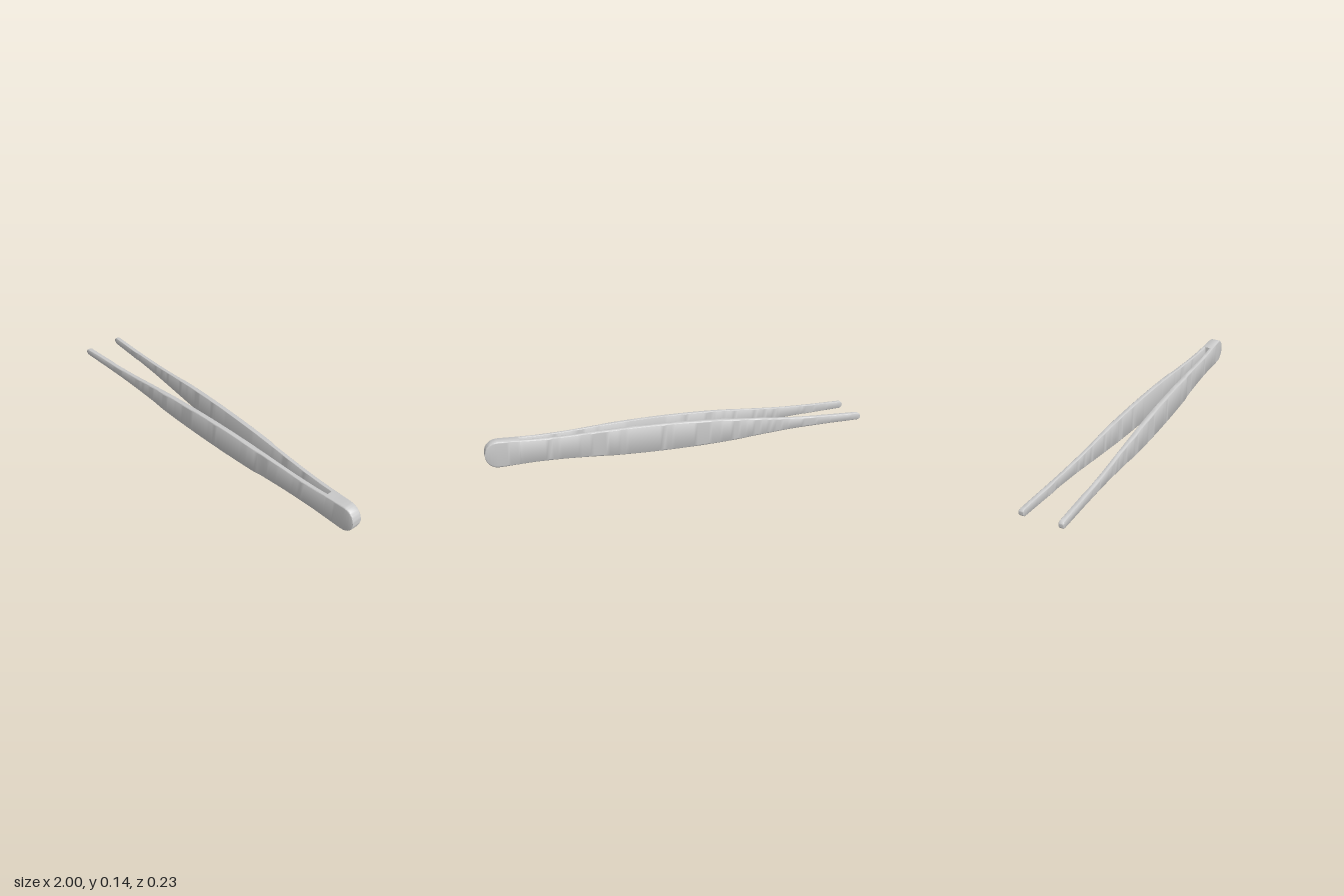
import * as THREE from 'three';
import { toCreasedNormals } from 'three/addons/utils/BufferGeometryUtils.js';

const MID_Y = 0.074, SLOT_END = 0.83;
const material = new THREE.MeshStandardMaterial({ color: 0xcccccc });
const smooth = THREE.MathUtils.smoothstep;

// Half height of the blade along its length, as a smooth curve
const profile = [[-1, 0.019], [-0.9, 0.021], [-0.8, 0.023], [-0.6, 0.031], [-0.4, 0.047], [-0.2, 0.062],
  [0, 0.07], [0.2, 0.072], [0.4, 0.068], [0.6, 0.06], [0.75, 0.059], [0.85, 0.063], [0.93, 0.067], [1, 0.067]];

function halfHeight(x) {
  let i = 0;
  while (i < profile.length - 2 && x > profile[i + 1][0]) i++;
  const slope = (k) => {
    const a = profile[Math.max(k - 1, 0)], b = profile[Math.min(k + 1, profile.length - 1)];
    return (b[1] - a[1]) / (b[0] - a[0]);
  };
  const [x0, h0] = profile[i], [x1, h1] = profile[i + 1];
  const w = x1 - x0, t = (x - x0) / w, t2 = t * t, t3 = t2 * t;
  let h = (2 * t3 - 3 * t2 + 1) * h0 + (t3 - 2 * t2 + t) * w * slope(i)
    + (3 * t2 - 2 * t3) * h1 + (t3 - t2) * w * slope(i + 1);
  // Rounded ends
  const round = (d, r, p) => (d < r ? Math.pow(Math.max(1 - Math.pow((r - d) / r, p), 0), 1 / p) : 1);
  h *= round(x + 1, 0.02, 2.5) * round(1 - x, 0.068, 2.2);
  return Math.max(h, 0.001);
}

// Outer face with a slightly raised grip, inner face with a thicker gripping tip
const outerZ = (x) => 0.113 - 0.043 * (x + 1) + 0.005 * smooth(x, -0.4, -0.3) * (1 - smooth(x, 0.38, 0.43));
const innerZ = (x) => 0.091 - 0.0432 * (x + 1) - 0.003 * (1 - smooth(x, -0.78, -0.75));

// Rounded rectangle in the y-z plane, counterclockwise seen from +x
function section(h, z0, z1, r0, r1) {
  const points = [], steps = 4;
  const corners = [[1, z0, 1, r0, -90], [1, z1, -1, r1, 0], [-1, z1, -1, r1, 90], [-1, z0, 1, r0, 180]];
  for (const [sy, z, sz, radius, start] of corners) {
    const r = Math.min(radius, h * 0.45);
    for (let k = 0; k <= steps; k++) {
      const a = THREE.MathUtils.degToRad(start + (90 * k) / steps);
      points.push([sy * (h - r) + r * Math.cos(a), z + sz * r + r * Math.sin(a)]);
    }
  }
  return points;
}

// Skin a row of sections along x and close both ends
function loft(stations, sectionAt) {
  const positions = [], index = [];
  const rings = stations.map(sectionAt), n = rings[0].length;
  rings.forEach((ring, i) => ring.forEach(([y, z]) => positions.push(stations[i], y, z)));
  for (let i = 0; i < rings.length - 1; i++) {
    for (let j = 0; j < n; j++) {
      const a = i * n + j, b = i * n + ((j + 1) % n);
      index.push(a, b, a + n, b, b + n, a + n);
    }
  }
  const last = (rings.length - 1) * n;
  for (let j = 1; j < n - 1; j++) {
    index.push(0, j + 1, j, last, last + j, last + j + 1);
  }
  const geometry = new THREE.BufferGeometry();
  geometry.setAttribute('position', new THREE.Float32BufferAttribute(positions, 3));
  geometry.setIndex(index);
  return toCreasedNormals(geometry, 0.6);
}

// Evenly spaced values from a to b
const range = (a, b, n) => Array.from({ length: n + 1 }, (_, i) => a + ((b - a) * i) / n);

export function createModel() {
  const tweezers = new THREE.Group();
  tweezers.name = 'tweezers';

  // Two mirrored spring arms, with stations packed closer around the tip
  const tip = range(0, 1, 10).map((t) => -1 + 0.02 * (1 - Math.cos((t * Math.PI) / 2)));
  const armStations = [...tip, ...range(-0.97, SLOT_END, 90)];
  const armGeometry = loft(armStations, (x) => section(halfHeight(x), innerZ(x), outerZ(x), 0.004, 0.008));
  ['frontArm', 'backArm'].forEach((name, i) => {
    const arm = new THREE.Mesh(armGeometry, material);
    arm.name = name;
    arm.rotation.x = i * Math.PI;
    tweezers.add(arm);
  });

  // Solid rounded end joining the arms
  const endStations = [...range(SLOT_END, 0.93, 8),
    ...range(0, 1, 16).map((t) => 0.932 + 0.068 * Math.sin((t * Math.PI) / 2))];
  const joint = new THREE.Mesh(
    loft(endStations, (x) => section(halfHeight(x), -outerZ(x), outerZ(x), 0.008, 0.008)), material);
  joint.name = 'joinedEnd';
  tweezers.add(joint);

  tweezers.position.y = MID_Y;
  const model = new THREE.Group();
  model.name = 'model';
  model.add(tweezers);
  return model;
}
